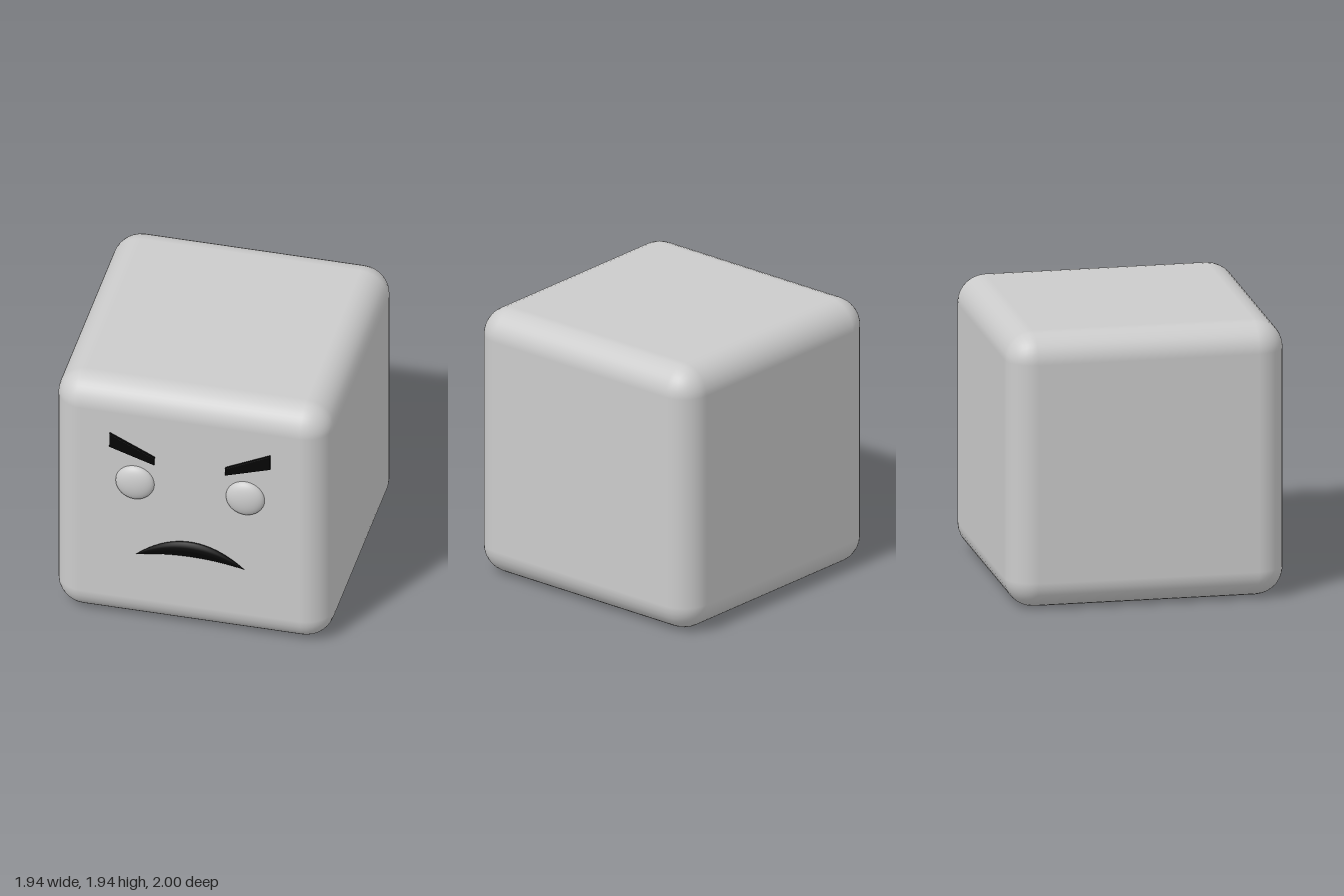
import * as THREE from 'three';
import { RoundedBoxGeometry } from 'three/addons/geometries/RoundedBoxGeometry.js';

const SIZE = 1.94;
const FACE_Z = 0.94;

// Frowning crescent: a closed tube whose height and depth taper to points
function mouthGeometry() {
  const geo = new THREE.CylinderGeometry(1, 1, 2, 16, 24, true).rotateZ(-Math.PI / 2);
  const p = geo.attributes.position;
  for (let i = 0; i < p.count; i++) {
    const u = p.getX(i);
    const k = 1 - u * u;
    const middle = 0.575 + 0.11 * k;
    p.setXYZ(i, 0.385 * u, middle + 0.06 * k * p.getY(i), FACE_Z + 0.003 + 0.033 * k * p.getZ(i));
  }
  geo.computeVertexNormals();
  return geo;
}

// Slanted brow slab; side mirrors it across x
function browGeometry(side) {
  const points = [[0.255, 1.365], [0.56, 1.465], [0.56, 1.565], [0.255, 1.415]];
  const shape = new THREE.Shape(points.map(([x, y]) => new THREE.Vector2(side * x, y)));
  return new THREE.ExtrudeGeometry(shape, {
    depth: 0.04, bevelEnabled: true, bevelThickness: 0.006, bevelSize: 0.006, bevelSegments: 2,
  }).translate(0, 0, FACE_Z - 0.026);
}

export function createModel() {
  const group = new THREE.Group();
  const grey = new THREE.MeshStandardMaterial({ color: 0xcccccc });
  const white = new THREE.MeshStandardMaterial({ color: 0xffffff });
  const black = new THREE.MeshStandardMaterial({ color: 0x050505 });

  const add = (name, geometry, material) => {
    const mesh = new THREE.Mesh(geometry, material);
    mesh.name = name;
    group.add(mesh);
    return mesh;
  };

  // Rounded cube head, set back to leave room for the raised face
  add('head', new RoundedBoxGeometry(SIZE, SIZE, SIZE, 4, 0.2), grey)
    .position.set(0, SIZE / 2, FACE_Z - SIZE / 2);

  // Flattened eyes and angry brows
  for (const side of [1, -1]) {
    const label = side > 0 ? 'left' : 'right';
    const eye = add(label + 'Eye', new THREE.SphereGeometry(0.136, 32, 20), white);
    eye.scale.z = 0.44;
    eye.position.set(side * 0.388, 1.183, FACE_Z);
    add(label + 'Brow', browGeometry(side), black);
  }

  add('mouth', mouthGeometry(), black);
  return group;
}
